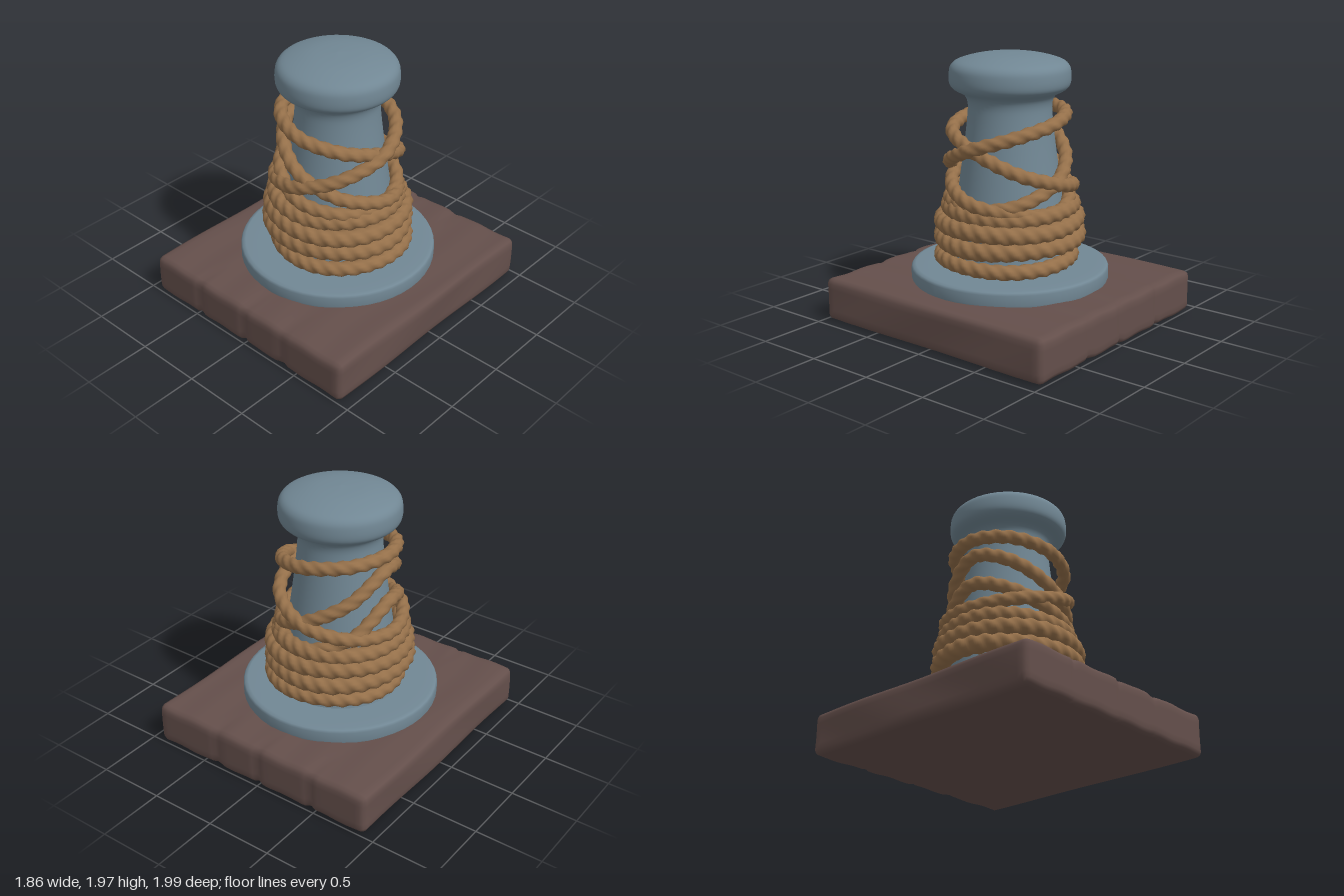
import * as THREE from 'three';
import { mergeVertices } from 'three/addons/utils/BufferGeometryUtils.js';

const mat = (name, color) => Object.assign(new THREE.MeshStandardMaterial({ color }), { name });

// Share vertices across seams and give smooth normals
function smooth(geometry) {
  geometry.deleteAttribute('uv');
  geometry.deleteAttribute('normal');
  const merged = mergeVertices(geometry, 1e-4);
  merged.computeVertexNormals();
  return merged;
}

// Closed rope: a tube whose section is three lobes twisted along the path
function ropeGeometry(points, radius, twists) {
  const curve = new THREE.CatmullRomCurve3(points, true);
  const steps = twists * 8, sides = 12;
  const tube = new THREE.TubeGeometry(curve, steps, radius, sides, true);
  const pos = tube.attributes.position, v = new THREE.Vector3();
  for (let i = 0; i <= steps; i++) {
    const centre = curve.getPointAt(i / steps);
    for (let j = 0; j <= sides; j++) {
      const k = i * (sides + 1) + j;
      const lobe = Math.cos(3 * (j / sides) * Math.PI * 2 + (i / steps) * twists * Math.PI * 2);
      v.fromBufferAttribute(pos, k).sub(centre).multiplyScalar(1 + 0.1 * lobe).add(centre);
      pos.setXYZ(k, v.x, v.y, v.z);
    }
  }
  return smooth(tube);
}

// Worn timber slab with rounded edges and shallow plank seams
function slabGeometry() {
  const half = new THREE.Vector3(0.925, 0.16, 0.995), round = 0.045;
  const g = new THREE.BoxGeometry(half.x * 2, half.y * 2, half.z * 2, 48, 8, 50);
  const pos = g.attributes.position, p = new THREE.Vector3(), inner = new THREE.Vector3();
  const limit = half.clone().subScalar(round);
  for (let i = 0; i < pos.count; i++) {
    p.fromBufferAttribute(pos, i);
    inner.copy(p).clamp(limit.clone().negate(), limit);
    p.sub(inner).setLength(round).add(inner);
    const edge = Math.max(0, Math.abs(p.z) - 0.7) / 0.3;
    let seam = 0;
    for (const x of [-0.46, 0, 0.37]) seam += Math.exp(-(((p.x - x) / 0.025) ** 2));
    p.y -= Math.sign(p.y) * (0.012 * seam * edge + 0.004 * (1 + Math.sin(p.x * 19 + Math.sin(p.z * 3))));
    p.z -= Math.sign(p.z) * (0.014 * seam * (edge > 0.9 ? 1 : 0));
    p.x += 0.006 * Math.sin(p.z * 5 + p.y * 9);
    pos.setXYZ(i, p.x, p.y, p.z);
  }
  return smooth(g);
}

export function createModel() {
  const wood = mat('darkBrown', 0x644f4b);
  const steel = mat('blueGrey', 0x718794);
  const hemp = mat('ropeTan', 0x95704a);
  const model = new THREE.Group();
  model.name = 'mooringPost';
  const add = (name, geometry, material, parent = model) => {
    const mesh = new THREE.Mesh(geometry, material);
    mesh.name = name;
    parent.add(mesh);
    return mesh;
  };
  const lathe = (pts, sides) =>
    new THREE.LatheGeometry(pts.map(([r, y]) => new THREE.Vector2(r, y)), sides);

  add('timberBase', slabGeometry(), wood).position.y = 0.163;

  // Round mounting plate with a softened rim
  add('flange', lathe([[0.715, 0.3], [0.725, 0.33], [0.725, 0.4], [0.715, 0.418],
    [0.69, 0.426], [0.55, 0.425], [0.35, 0.425]], 48), steel);

  // Tapered shaft and domed head as one smooth profile
  const profile = new THREE.SplineCurve([[0.46, 0.41], [0.43, 0.55], [0.4, 0.8], [0.365, 1.05],
    [0.33, 1.3], [0.305, 1.52], [0.305, 1.62], [0.335, 1.675], [0.4, 1.71], [0.432, 1.75],
    [0.436, 1.82], [0.42, 1.88], [0.36, 1.92], [0.2, 1.958], [0, 1.97]]
    .map(([r, y]) => new THREE.Vector2(r, y))).getPoints(56);
  profile[profile.length - 1].x = 0;
  add('postAndHead', new THREE.LatheGeometry(profile, 48), steel);

  // Three rusty bolts
  for (const [x, z] of [[0.51, -0.37], [-0.5, 0.37], [0.39, 0.47]]) {
    const bolt = new THREE.Group();
    bolt.name = 'bolt';
    bolt.position.set(x, 0.42, z);
    bolt.rotation.y = x * 3;
    const washer = add('washer', new THREE.CylinderGeometry(0.08, 0.09, 0.02, 9), wood, bolt);
    washer.position.y = 0.01;
    add('nut', new THREE.CylinderGeometry(0.055, 0.066, 0.07, 6), wood, bolt).position.y = 0.05;
    add('stud', lathe([[0.04, 0.08], [0.037, 0.115], [0.025, 0.14], [0, 0.145]], 8), wood, bolt);
  }

  // Stacked coils: height, radius, sideways shift, tilt, thickness
  const coils = [[0.5, 0.475, 0.04, 0, 0.053], [0.645, 0.49, 0, -0.015, 0.064],
    [0.765, 0.487, 0.005, -0.012, 0.062], [0.865, 0.45, -0.01, -0.012, 0.058]];
  for (const [y, r, shift, tilt, thick] of coils) {
    const pts = [];
    for (let i = 0; i < 16; i++) {
      const a = (i / 16) * Math.PI * 2;
      pts.push(new THREE.Vector3(shift + r * Math.sin(a),
        y + tilt * Math.sin(a) + 0.006 * Math.sin(3 * a + y * 20), r * Math.cos(a)));
    }
    add('ropeCoil', ropeGeometry(pts, thick, 30), hemp);
  }

  // Crossing loops: two turns each, a height every 45 degrees from the front
  const loops = [
    { inset: 0, y: [1.08, 1.2, 1.33, 1.43, 1.5, 1.54, 1.55, 1.52,
      1.47, 1.41, 1.31, 1.18, 1.07, 1.0, 0.97, 1.0] },
    { inset: 0.03, y: [1.18, 1.04, 0.95, 0.89, 0.87, 0.98, 1.18, 1.1,
      0.97, 0.92, 0.9, 0.95, 1.08, 1.25, 1.42, 1.34] },
  ];
  for (const { inset, y } of loops) {
    const pts = y.map((h, i) => {
      const a = (i * Math.PI) / 4;
      // the two turns part slightly where they cross on the left side
      const part = i === 2 ? 0.02 : i === 10 ? -0.025 : 0;
      const r = 0.4 + (1.52 - h) * 0.11 - inset + part;
      return new THREE.Vector3(r * Math.sin(a), h, r * Math.cos(a));
    });
    add('crossingRope', ropeGeometry(pts, 0.048, 54), hemp);
  }
  return model;
}
